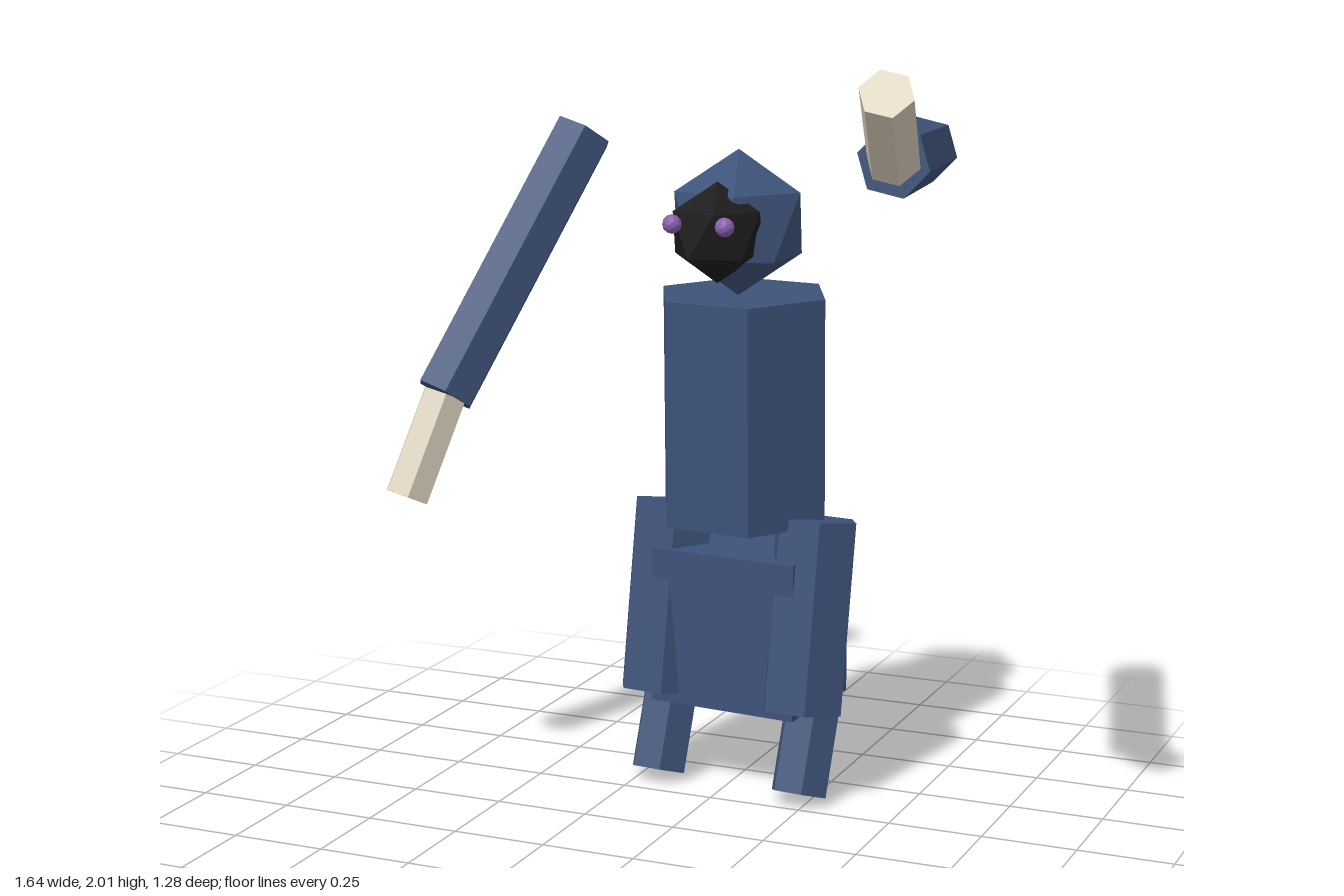
import * as THREE from 'three';

const material = (name, color) => {
  const m = new THREE.MeshStandardMaterial({ color, flatShading: true });
  m.name = name;
  return m;
};

export function createModel() {
  const blue = material('navy blue', 0x3d5279);
  const bone = material('pale bone', 0xddd3bf);
  const black = material('mask black', 0x1b1b1b);
  const purple = material('eye purple', 0x8a5fae);

  const model = new THREE.Group();
  model.name = 'figure';

  const add = (parent, name, geometry, mat, x = 0, y = 0, z = 0) => {
    const mesh = new THREE.Mesh(geometry, mat);
    mesh.name = name;
    mesh.position.set(x, y, z);
    parent.add(mesh);
    return mesh;
  };

  // Six-sided prism running between two points
  const prism = (parent, name, from, to, radius, mat) => {
    const a = new THREE.Vector3(...from);
    const b = new THREE.Vector3(...to);
    const axis = b.clone().sub(a);
    const geometry = new THREE.CylinderGeometry(radius, radius, axis.length(), 6);
    geometry.rotateY(Math.PI / 6);
    const mesh = add(parent, name, geometry, mat);
    mesh.position.copy(a).add(b).multiplyScalar(0.5);
    mesh.quaternion.setFromUnitVectors(new THREE.Vector3(0, 1, 0), axis.normalize());
    return mesh;
  };

  // Icosahedron standing on a corner
  const gem = (radius) => new THREE.IcosahedronGeometry(radius, 0)
    .rotateZ(Math.atan((1 + Math.sqrt(5)) / 2) - Math.PI / 2);

  // Body, turned slightly about the vertical
  const body = new THREE.Group();
  body.name = 'body';
  body.position.set(0.025, 0, -0.42);
  body.rotation.y = -0.095;
  model.add(body);

  prism(body, 'torso', [0, 0.735, 0.002], [0, 1.333, 0.014], 0.237, blue);
  add(body, 'hips', new THREE.BoxGeometry(0.42, 0.42, 0.33), blue, 0, 0.44, -0.035);

  // Legs
  for (const [side, s] of [['left', 1], ['right', -1]]) {
    const x = s * 0.212;
    prism(body, side + 'Thigh', [x, 0.25, 0.08], [x, 0.75, 0], 0.115, blue);
    prism(body, side + 'Shin', [x, 0.022, 0.09], [x, 0.262, 0.005], 0.079, blue);
  }

  // Head, mask and eyes
  add(model, 'head', gem(0.19), blue, 0.02, 1.52, -0.38);
  add(model, 'mask', gem(0.13), black, 0.015, 1.51, -0.25);
  add(model, 'leftEye', new THREE.IcosahedronGeometry(0.025, 1), purple, 0.08, 1.54, -0.14);
  add(model, 'rightEye', new THREE.IcosahedronGeometry(0.025, 1), purple, -0.066, 1.54, -0.147);

  // Detached arms: left raised forward, right hanging
  const arms = [
    ['left', [0.512, 1.728, -0.405], [0.7, 1.785, 0.38], [0.757, 1.957, 0.6]],
    ['right', [-0.465, 1.725, -0.475], [-0.7, 1.06, -0.11], [-0.762, 0.8, -0.005]],
  ];
  for (const [side, shoulder, elbow, wrist] of arms) {
    prism(model, side + 'UpperArm', shoulder, elbow, 0.084, blue);
    prism(model, side + 'Forearm', elbow, wrist, 0.063, bone);
  }

  return model;
}
